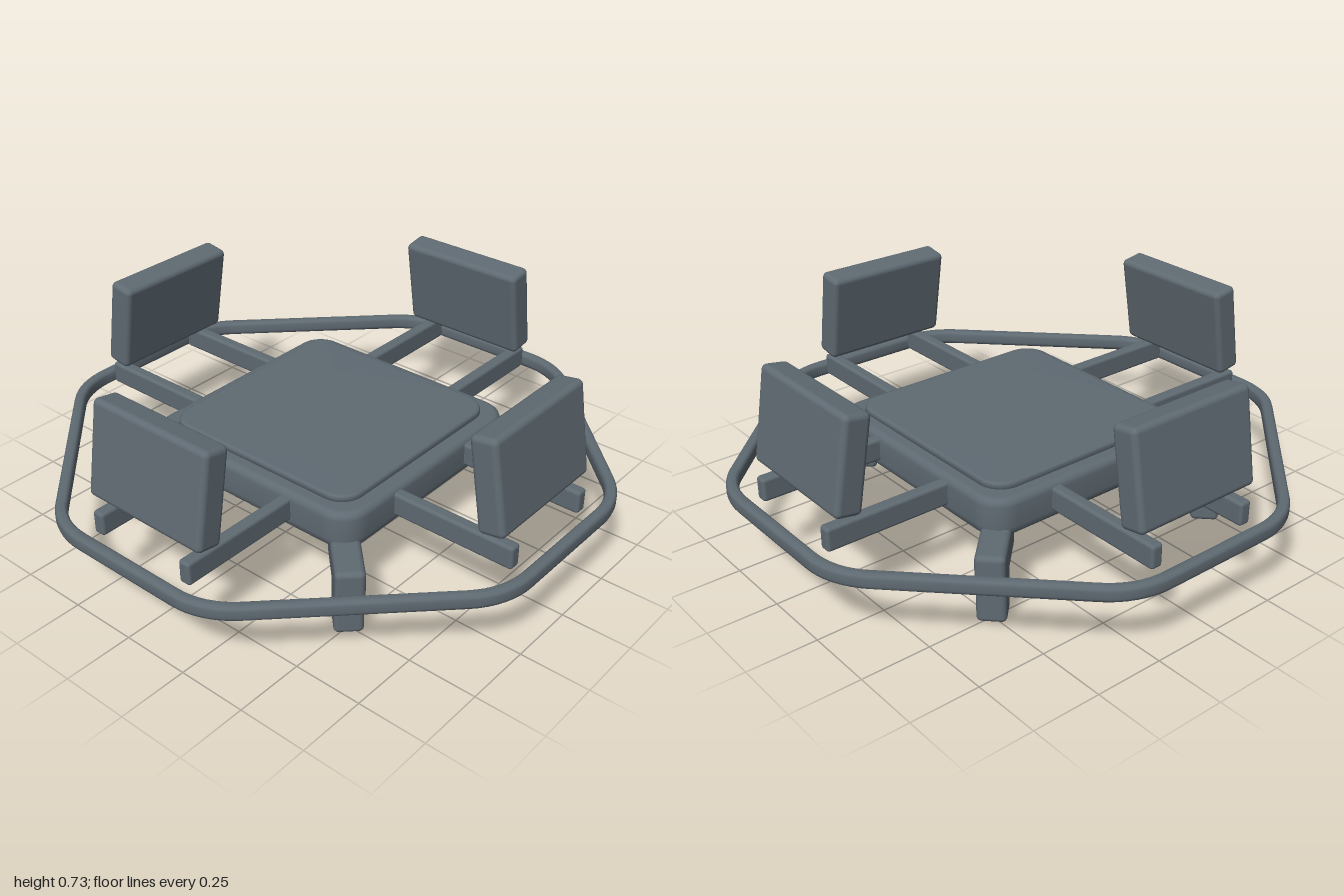
import * as THREE from 'three';
import { RoundedBoxGeometry } from 'three/addons/geometries/RoundedBoxGeometry.js';

// Rounded polygon: sides at the given distances from the centre, corners of radius r.
function outline(distances, r, steps) {
  const n = distances.length, turn = (Math.PI * 2) / n, points = [];
  for (let k = 0; k < n; k++) {
    const a = k * turn, d1 = distances[k], d2 = distances[(k + 1) % n];
    const t = (d2 - d1 * Math.cos(turn)) / Math.sin(turn);
    const mid = a + turn / 2, back = r / Math.cos(turn / 2);
    const cx = d1 * Math.cos(a) - t * Math.sin(a) - back * Math.cos(mid);
    const cz = d1 * Math.sin(a) + t * Math.cos(a) - back * Math.sin(mid);
    for (let s = 0; s <= steps; s++) {
      const b = a + (turn * s) / steps, nx = Math.cos(b), nz = Math.sin(b);
      points.push({ x: cx + r * nx, z: cz + r * nz, nx, nz });
    }
  }
  return points;
}

// Sweep a [offset, height] profile around an outline; capped solid or closed ring.
function sweep(points, profile, capped) {
  const n = points.length, m = profile.length, pos = [], index = [];
  for (const [o, y] of profile) {
    for (const p of points) pos.push(p.x + p.nx * o, y, p.z + p.nz * o);
  }
  for (let j = 0; j < (capped ? m - 1 : m); j++) {
    for (let i = 0; i < n; i++) {
      const i2 = (i + 1) % n, j2 = (j + 1) % m;
      const a = j * n + i, b = j2 * n + i, c = j * n + i2, d = j2 * n + i2;
      index.push(a, b, c, b, d, c);
    }
  }
  if (capped) {
    const low = n * m, high = low + 1, last = (m - 1) * n;
    pos.push(0, profile[0][1], 0, 0, profile[m - 1][1], 0);
    for (let i = 0; i < n; i++) {
      const i2 = (i + 1) % n;
      index.push(low, i, i2, high, last + i2, last + i);
    }
  }
  const g = new THREE.BufferGeometry();
  g.setAttribute('position', new THREE.Float32BufferAttribute(pos, 3));
  g.setIndex(index);
  g.computeVertexNormals();
  return g;
}

export function createModel() {
  const model = new THREE.Group();
  model.name = 'drone';
  const slate = new THREE.MeshStandardMaterial({ color: 0x5f6a72 });
  slate.name = 'slate grey';

  function add(parent, name, geometry, x = 0, y = 0, z = 0) {
    const mesh = new THREE.Mesh(geometry, slate);
    mesh.name = name;
    mesh.position.set(x, y, z);
    parent.add(mesh);
    return mesh;
  }

  // Square hull with softened edges, and the raised lid on top
  const hull = outline([0.462, 0.462, 0.462, 0.462], 0.1, 8);
  add(model, 'body', sweep(hull, [
    [-0.03, 0.235], [-0.012, 0.24], [-0.003, 0.252], [0, 0.27],
    [0, 0.345], [-0.006, 0.36], [-0.016, 0.369], [-0.03, 0.372],
  ], true));
  const lid = outline([0.405, 0.405, 0.405, 0.405], 0.085, 8);
  add(model, 'lid', sweep(lid, [
    [0, 0.36], [0, 0.385], [-0.004, 0.392], [-0.012, 0.396],
  ], true));

  // Eight-sided guard ring
  const s = 0.926, f = 0.979;
  const guard = outline([f, s, f, s, f, s, f, s], 0.28, 8);
  add(model, 'guardRing', sweep(guard, [
    [0.01, 0.24], [0.018, 0.246], [0.021, 0.256], [0.021, 0.28], [0.018, 0.289], [0.01, 0.295],
    [-0.01, 0.295], [-0.018, 0.289], [-0.021, 0.28], [-0.021, 0.256], [-0.018, 0.246], [-0.01, 0.24],
  ], false));

  const armGeometry = new RoundedBoxGeometry(0.54, 0.085, 0.046, 3, 0.012);
  const panelGeometry = new RoundedBoxGeometry(0.1, 0.342, 0.504, 4, 0.02);
  const bracketGeometry = new RoundedBoxGeometry(0.275, 0.115, 0.1, 4, 0.018);
  const footGeometry = new RoundedBoxGeometry(0.1, 0.18, 0.1, 4, 0.018);

  for (let k = 0; k < 4; k++) {
    // Pair of arms carrying an inward-leaning panel
    const side = new THREE.Group();
    side.name = 'side' + (k + 1);
    side.rotation.y = (k * Math.PI) / 2;
    for (const z of [-0.197, 0.197]) add(side, 'arm', armGeometry, 0.65, 0.3125, z);
    add(side, 'panel', panelGeometry, 0.827, 0.554, 0).rotation.z = THREE.MathUtils.degToRad(9.5);
    model.add(side);

    // Leg on the diagonal
    const leg = new THREE.Group();
    leg.name = 'leg' + (k + 1);
    leg.rotation.y = ((k + 0.5) * Math.PI) / 2;
    add(leg, 'bracket', bracketGeometry, 0.638, 0.2075, 0);
    add(leg, 'foot', footGeometry, 0.695, 0.09, 0);
    model.add(leg);
  }
  return model;
}
